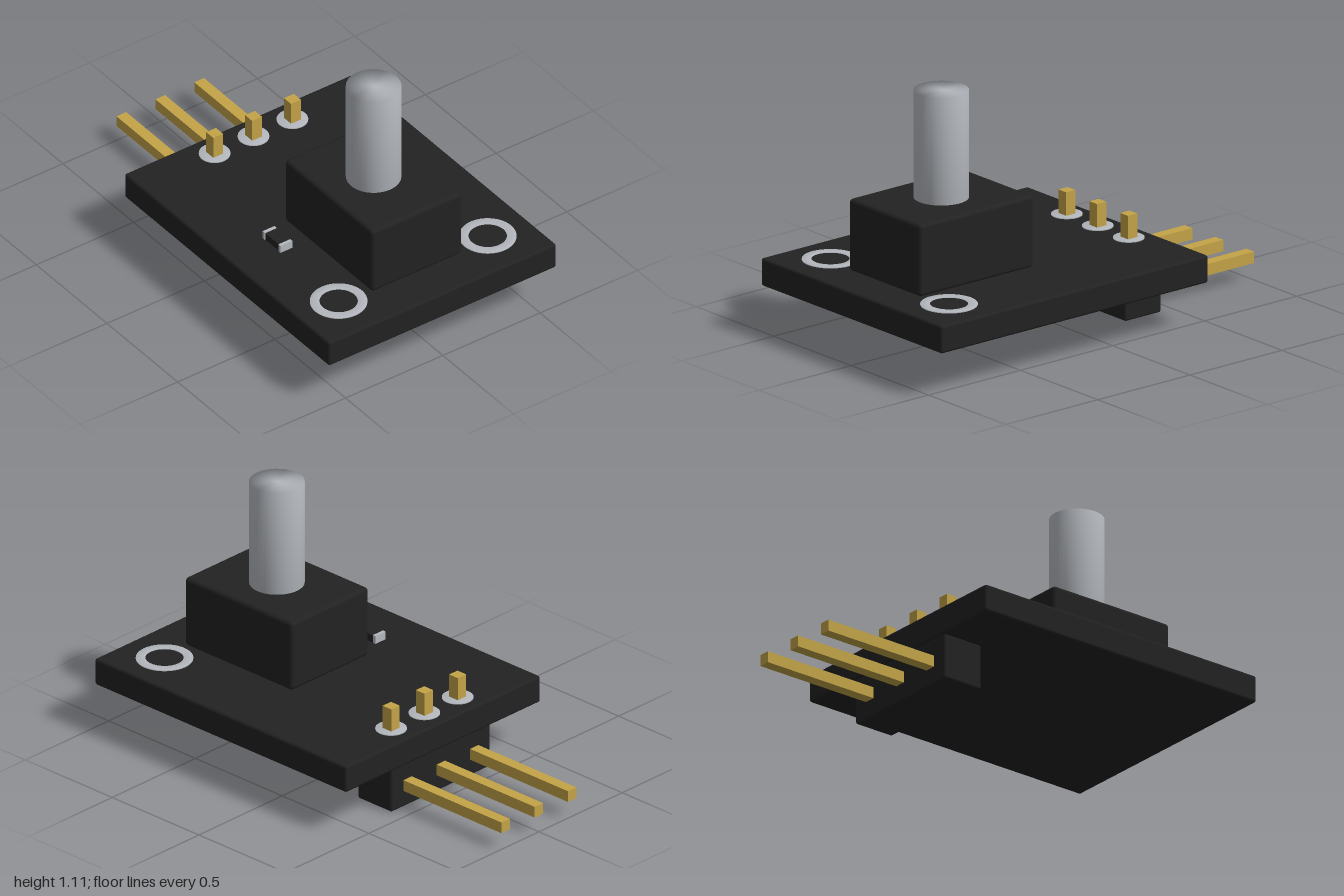
import * as THREE from 'three';
import { mergeVertices } from 'three/addons/utils/BufferGeometryUtils.js';
import { RoundedBoxGeometry } from 'three/addons/geometries/RoundedBoxGeometry.js';

const mat = (name, color) => {
  const m = new THREE.MeshStandardMaterial({ color });
  m.name = name;
  return m;
};

// Share normals across the rims for a soft-shaded look
function soften(geometry) {
  geometry.deleteAttribute('normal');
  geometry.deleteAttribute('uv');
  const merged = mergeVertices(geometry);
  merged.computeVertexNormals();
  return merged;
}

export function createModel() {
  const model = new THREE.Group();
  model.name = 'sensorModule';
  const black = mat('black', 0x222222);
  const silver = mat('silver', 0xb4b8be);
  const gold = mat('gold', 0xc4a448);

  const add = (name, geometry, material, x, y, z) => {
    const mesh = new THREE.Mesh(geometry, material);
    mesh.name = name;
    mesh.position.set(x, y, z);
    model.add(mesh);
    return mesh;
  };
  // Box given by its extents, with optional rounded edges
  const box = (name, material, [x0, x1], [y0, y1], [z0, z1], r = 0) => {
    const s = [x1 - x0, y1 - y0, z1 - z0];
    const g = r ? new RoundedBoxGeometry(...s, 3, r) : new THREE.BoxGeometry(...s);
    return add(name, g, material, (x0 + x1) / 2, (y0 + y1) / 2, (z0 + z1) / 2);
  };
  // Flat ring with a small thickness
  const washer = (inner, outer, h) => soften(new THREE.LatheGeometry([
    [inner, 0], [outer, 0], [outer, h], [inner, h], [inner, 0],
  ].map(([x, y]) => new THREE.Vector2(x, y)), 40));

  // Circuit board, pin header and sensor body
  box('circuitBoard', black, [-0.45, 1], [0.2, 0.322], [-0.585, 0.585], 0.012);
  box('pinHeader', black, [-0.435, -0.24], [0, 0.205], [-0.297, 0.297], 0.01);
  box('sensorBody', black, [0.2, 0.82], [0.318, 0.635], [-0.233, 0.233], 0.018);

  // Round shaft on top of the body
  add('shaft', soften(new THREE.CylinderGeometry(0.116, 0.116, 0.48, 40)), silver, 0.51, 0.865, 0);

  // Bent pins with solder pads
  for (const z of [-0.2, 0, 0.2]) {
    box('horizontalPin', gold, [-1, -0.315], [0.075, 0.125], [z - 0.025, z + 0.025]);
    box('verticalPin', gold, [-0.365, -0.315], [0.1, 0.43], [z - 0.025, z + 0.025]);
    add('solderPad', soften(new THREE.CylinderGeometry(0.066, 0.066, 0.009, 32)), silver, -0.34, 0.3225, z);
  }

  // Mounting holes: metal ring around a dark centre
  for (const z of [-0.383, 0.383]) {
    add('mountingRing', washer(0.08, 0.12, 0.009), silver, 0.79, 0.318, z);
    add('mountingHole', new THREE.CylinderGeometry(0.082, 0.082, 0.006, 32), black, 0.79, 0.321, z);
  }

  // Small surface-mounted component with metal ends
  box('chipBody', black, [0.262, 0.363], [0.32, 0.355], [0.322, 0.378]);
  box('chipEnd', silver, [0.249, 0.264], [0.32, 0.358], [0.32, 0.381]);
  box('chipEnd', silver, [0.361, 0.376], [0.32, 0.358], [0.32, 0.381]);

  return model;
}
